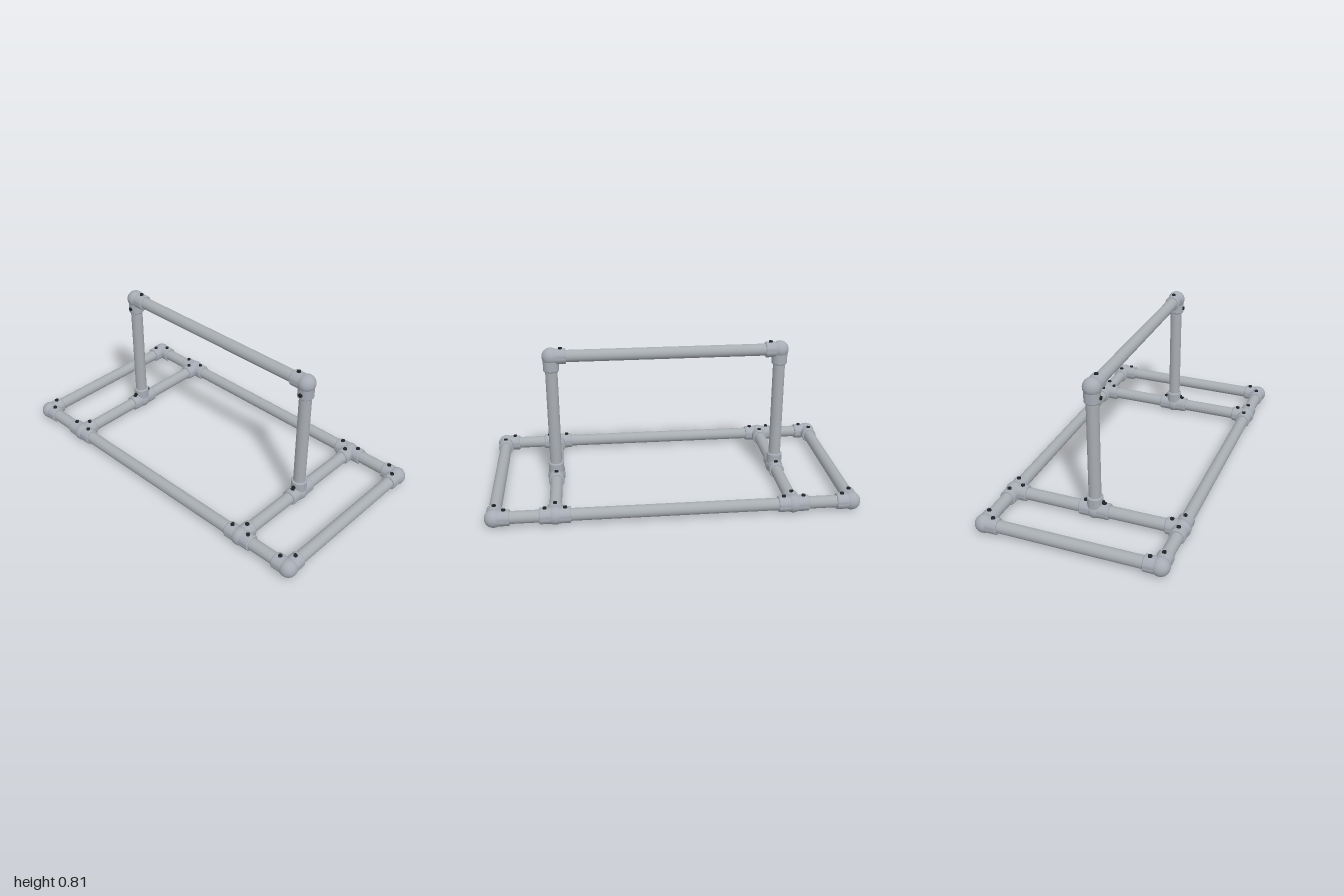
import * as THREE from 'three';
import { toCreasedNormals } from 'three/addons/utils/BufferGeometryUtils.js';

const PIPE_R = 0.0335, SOCKET_R = 0.0435, BALL_R = 0.049, REACH = 0.083, SCREW_AT = 0.053;
const BASE_Y = 0.05, TOP_Y = 0.763, END_X = 0.951, POST_X = 0.633, SIDE_Z = 0.475;

const material = (name, color) => {
  const m = new THREE.MeshStandardMaterial({ color });
  m.name = name;
  return m;
};

export function createModel() {
  const model = new THREE.Group();
  model.name = 'pipeFrame';
  const pipeMat = material('galvanisedPipe', 0xa8adb2);
  const fittingMat = material('castFitting', 0xa6abb4);
  const screwMat = material('darkScrew', 0x222326);

  const up = new THREE.Vector3(0, 1, 0);
  const V = (x, y, z) => new THREE.Vector3(x, y, z);

  // Socket sleeve with a chamfered mouth, running outward along +y
  const profile = [
    [SOCKET_R, 0], [SOCKET_R, REACH - 0.005],
    [SOCKET_R - 0.004, REACH], [PIPE_R - 0.002, REACH],
  ].map(([r, y]) => new THREE.Vector2(r, y));
  const socketGeo = toCreasedNormals(new THREE.LatheGeometry(profile, 32), 0.5);
  const ballGeo = new THREE.SphereGeometry(BALL_R, 32, 20);
  const screwGeo = new THREE.CylinderGeometry(0.011, 0.011, 0.016, 12);

  function add(parent, name, geo, mat, position, direction = up) {
    const mesh = new THREE.Mesh(geo, mat);
    mesh.name = name;
    mesh.position.copy(position);
    mesh.quaternion.setFromUnitVectors(up, direction);
    parent.add(mesh);
  }

  function pipe(name, a, b) {
    const span = b.clone().sub(a);
    const geo = new THREE.CylinderGeometry(PIPE_R, PIPE_R, span.length(), 32, 1, true);
    add(model, name, geo, pipeMat, a.clone().add(b).multiplyScalar(0.5), span.normalize());
  }

  // Ball joint with one socket and set screw per direction;
  // screws face up, or forward on vertical sockets
  function fitting(name, centre, directions) {
    const group = new THREE.Group();
    group.name = name;
    group.position.copy(centre);
    add(group, 'ball', ballGeo, fittingMat, V(0, 0, 0));
    for (const d of directions) {
      add(group, 'socket', socketGeo, fittingMat, V(0, 0, 0), d);
      const face = d.y !== 0 ? V(0, 0, 1) : up;
      const at = d.clone().multiplyScalar(SCREW_AT).addScaledVector(face, 0.042);
      add(group, 'setScrew', screwGeo, screwMat, at, face);
    }
    model.add(group);
  }

  // Long base rails with corner elbows and cross-rail tees
  for (const sz of [1, -1]) {
    const z = sz * SIDE_Z;
    pipe(sz > 0 ? 'frontRail' : 'backRail', V(-END_X, BASE_Y, z), V(END_X, BASE_Y, z));
    for (const sx of [1, -1]) {
      fitting('cornerElbow', V(sx * END_X, BASE_Y, z), [V(-sx, 0, 0), V(0, 0, -sz)]);
      fitting('railTee', V(sx * POST_X, BASE_Y, z), [V(1, 0, 0), V(-1, 0, 0), V(0, 0, -sz)]);
    }
  }

  // End rails, cross rails and uprights
  for (const sx of [1, -1]) {
    const side = sx > 0 ? 'left' : 'right';
    const x = sx * POST_X;
    pipe(side + 'EndRail', V(sx * END_X, BASE_Y, -SIDE_Z), V(sx * END_X, BASE_Y, SIDE_Z));
    pipe(side + 'CrossRail', V(x, BASE_Y, -SIDE_Z), V(x, BASE_Y, SIDE_Z));
    pipe(side + 'Post', V(x, BASE_Y, 0), V(x, TOP_Y, 0));
    fitting(side + 'PostTee', V(x, BASE_Y, 0), [V(0, 0, 1), V(0, 0, -1), V(0, 1, 0)]);
    fitting(side + 'TopElbow', V(x, TOP_Y, 0), [V(-sx, 0, 0), V(0, -1, 0)]);
  }

  // Raised bar
  pipe('topBar', V(-POST_X, TOP_Y, 0), V(POST_X, TOP_Y, 0));

  return model;
}
